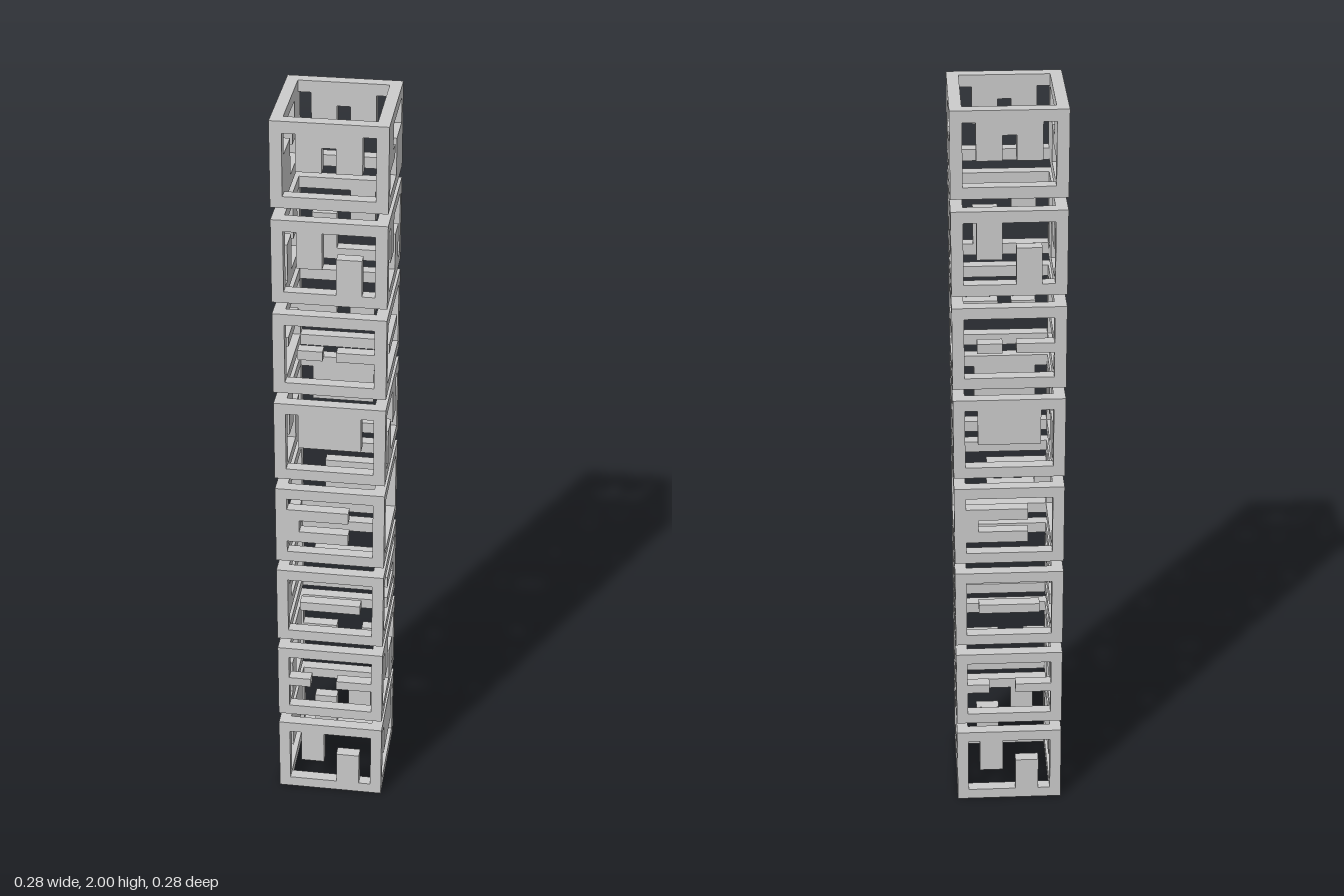
import * as THREE from 'three';

const HALF = 0.142, T = 0.03, INNER = HALF - T; // half width, bar thickness, inner half width
const HEIGHT = 0.222, PITCH = 0.254, OPEN = HEIGHT - 2 * T;

const material = new THREE.MeshStandardMaterial({ color: 0xcccccc, flatShading: true });

// Solid pieces filling a wall opening: [left, right, bottom, top], seen from outside
const offset = [[-0.08, -0.017, 0.066, OPEN], [0.017, 0.08, 0, 0.096]];
const hanging = [[-0.08, 0.08, 0.066, OPEN]];
const island = [[-0.08, 0.08, 0.068, 0.094]];
const comb = [[-0.048, INNER, 0.098, 0.13], [-0.048, INNER, 0.032, 0.064], [0.08, INNER, 0.064, 0.098]];
const stubs = [[-INNER, -0.053, 0.068, 0.094], [0.017, INNER, 0.068, 0.094]];
const splitBar = [[-0.08, -0.017, 0.068, 0.094], [0.017, INNER, 0.068, 0.094]];
const fork = [[-0.08, 0.08, 0.13, OPEN], [-0.08, -0.017, 0.066, 0.13], [0.017, 0.08, 0.066, 0.13]];
const hook = 'hook';
const flip = rects => rects.map(([l, r, b, t]) => [-r, -l, b, t]);

// [front and back, right and left] of each cube frame, bottom to top
const levels = [
  [offset, hanging],
  [stubs, offset],
  [island, comb],
  [flip(comb), []],
  [hanging, flip(offset)],
  [splitBar, island],
  [offset, offset],
  [fork, hook],
];

function addMesh(parent, name, geometry, x = 0, y = 0, z = 0) {
  const mesh = new THREE.Mesh(geometry, material);
  mesh.name = name;
  mesh.position.set(x, y, z);
  parent.add(mesh);
  return mesh;
}

function rectShape(l, r, b, t) {
  return new THREE.Shape([[l, b], [r, b], [r, t], [l, t]].map(p => new THREE.Vector2(...p)));
}

function extrude(shape) {
  return new THREE.ExtrudeGeometry(shape, { depth: T, bevelEnabled: false });
}

// Square rim lying flat
const rimShape = rectShape(-HALF, HALF, -HALF, HALF);
rimShape.holes.push(rectShape(-INNER, INNER, -INNER, INNER));
const rimGeometry = extrude(rimShape).rotateX(-Math.PI / 2);
const postGeometry = new THREE.BoxGeometry(T, OPEN, T);

// Full panel with a hooked opening
const hookShape = rectShape(-INNER, INNER, 0, OPEN);
hookShape.holes.push(new THREE.Path([
  [-0.053, 0.1615], [0.1115, 0.1615], [0.1115, 0.096], [0.017, 0.096], [0.017, 0.0005],
  [-0.1115, 0.0005], [-0.1115, 0.064], [-0.017, 0.064], [-0.017, 0.096], [-0.053, 0.096],
].map(p => new THREE.Vector2(...p))));
const hookGeometry = extrude(hookShape);

function createWall(pattern) {
  const wall = new THREE.Group();
  if (pattern === hook) {
    addMesh(wall, 'hookPanel', hookGeometry, 0, T, INNER);
  } else {
    for (const [l, r, b, t] of pattern) {
      addMesh(wall, 'wallPiece', new THREE.BoxGeometry(r - l, t - b, T),
        (l + r) / 2, T + (b + t) / 2, HALF - T / 2);
    }
  }
  return wall;
}

export function createModel() {
  const model = new THREE.Group();
  model.name = 'cubeTower';
  const sides = ['front', 'right', 'back', 'left'];
  const corner = HALF - T / 2;

  levels.forEach((patterns, i) => {
    const cube = new THREE.Group();
    cube.name = `cube${i + 1}`;
    cube.position.y = i * PITCH;

    // Open frame
    addMesh(cube, 'bottomRim', rimGeometry);
    addMesh(cube, 'topRim', rimGeometry, 0, HEIGHT - T);
    for (const x of [-corner, corner]) {
      for (const z of [-corner, corner]) addMesh(cube, 'cornerPost', postGeometry, x, HEIGHT / 2, z);
    }

    // Opposite walls carry the same pattern
    sides.forEach((side, k) => {
      const wall = createWall(patterns[k % 2]);
      wall.name = `${side}Wall`;
      wall.rotation.y = k * Math.PI / 2;
      cube.add(wall);
    });
    model.add(cube);
  });
  return model;
}
